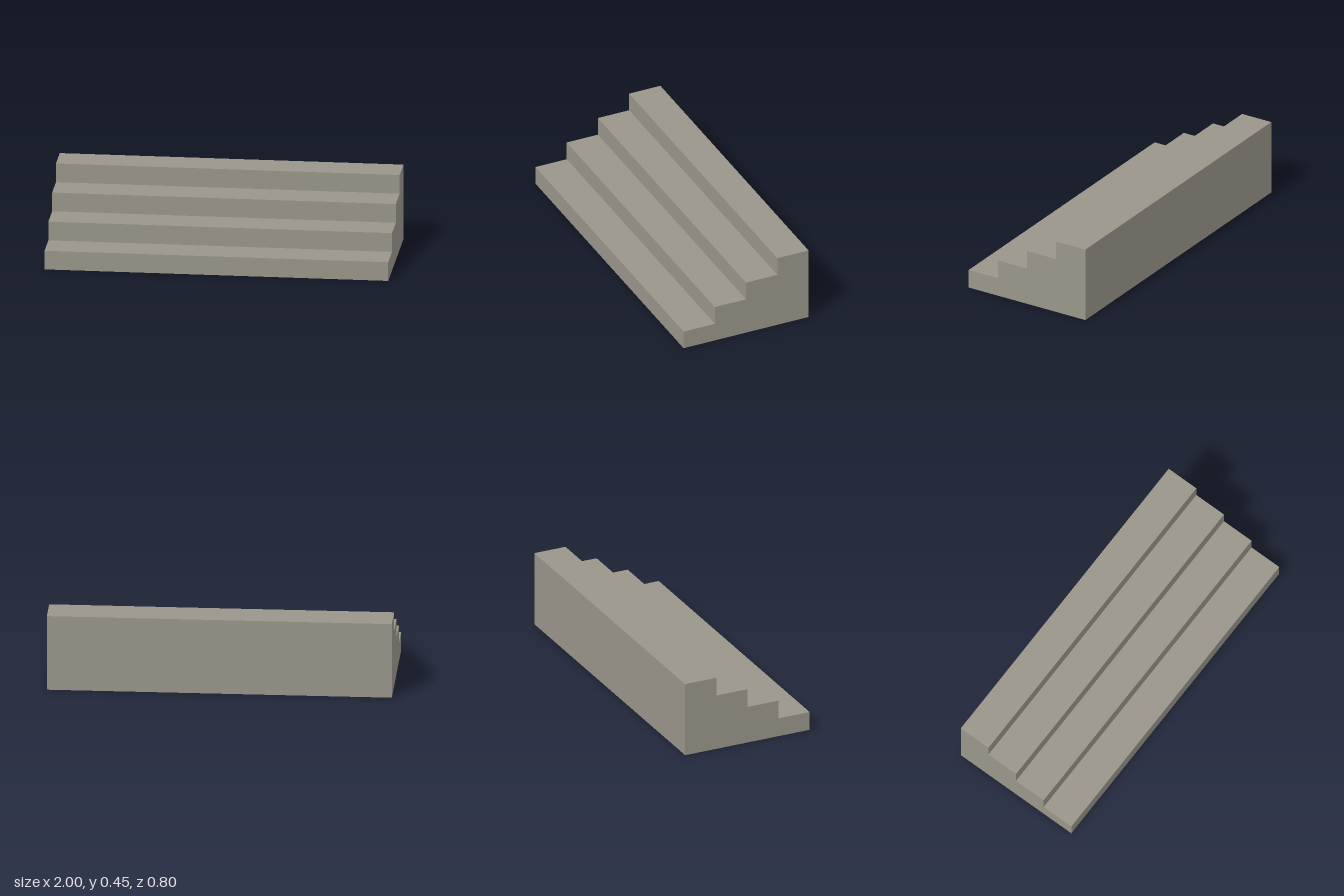
import * as THREE from 'three';

const STEPS = 4, WIDTH = 2, DEPTH = 0.8, HEIGHT = 0.453;

export function createModel() {
  const group = new THREE.Group();
  group.name = 'staircase';

  const stone = new THREE.MeshStandardMaterial({ color: 0x99958a });
  stone.name = 'warm grey stone';

  // Side profile: steps rise from the front to the back
  const run = DEPTH / STEPS, rise = HEIGHT / STEPS;
  const profile = new THREE.Shape();
  profile.moveTo(-DEPTH / 2, 0);
  profile.lineTo(DEPTH / 2, 0);
  profile.lineTo(DEPTH / 2, HEIGHT);
  for (let i = STEPS - 1; i >= 0; i--) {
    const x = -DEPTH / 2 + i * run;
    profile.lineTo(x, (i + 1) * rise);
    if (i > 0) profile.lineTo(x, i * rise);
  }
  profile.closePath();

  // Solid flight of steps, extruded across the width
  const geometry = new THREE.ExtrudeGeometry(profile, { depth: WIDTH, bevelEnabled: false });
  geometry.translate(0, 0, -WIDTH / 2);
  geometry.rotateY(Math.PI / 2);

  const steps = new THREE.Mesh(geometry, stone);
  steps.name = 'steps';
  group.add(steps);
  return group;
}
